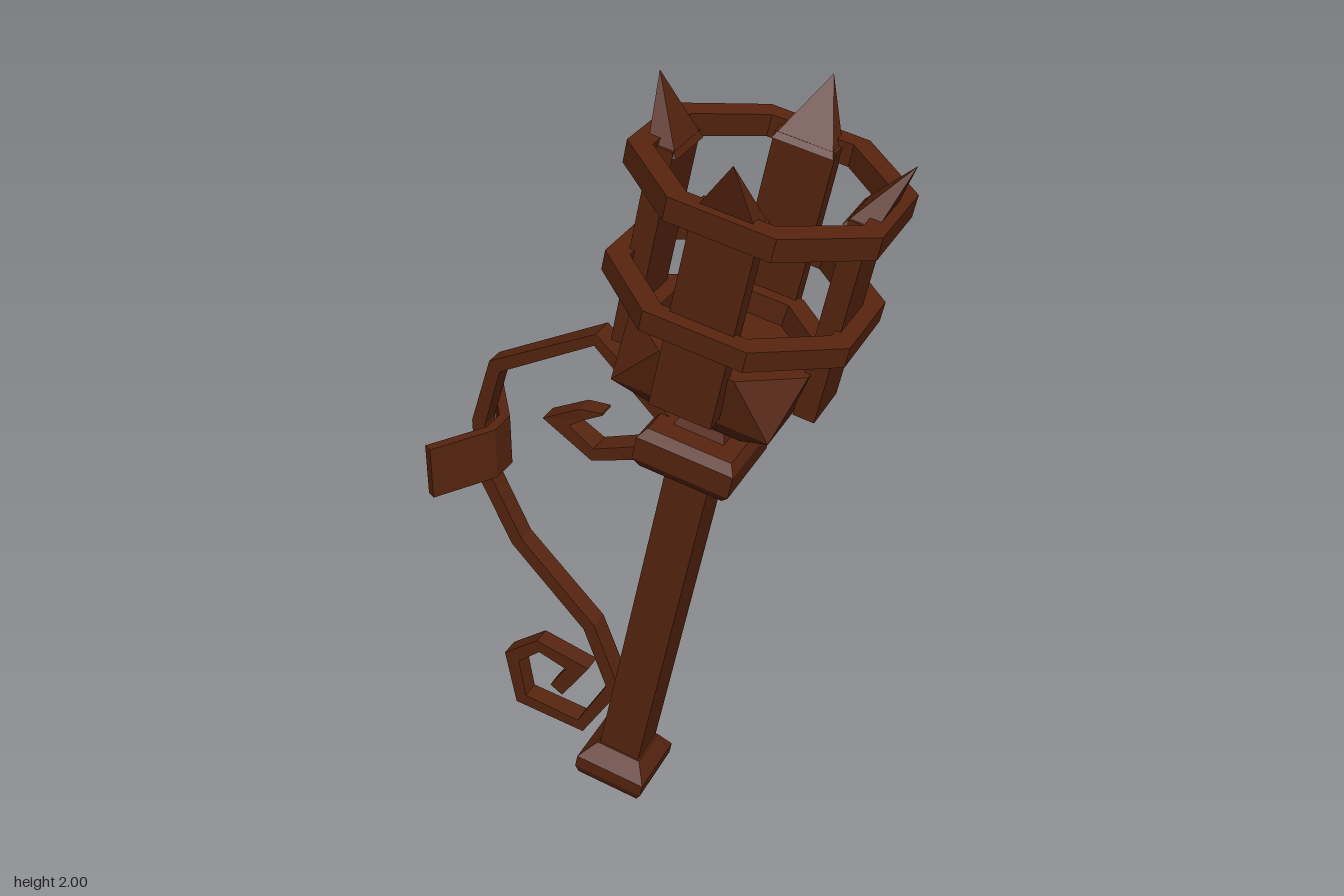
import * as THREE from 'three';

const material = new THREE.MeshStandardMaterial({ color: 0x56240f, flatShading: true, side: THREE.DoubleSide });

// Skin a list of equal-length cross-sections, optionally closing both ends
function loft(rings, caps = true) {
  const pos = [];
  const tri = (a, b, c) => pos.push(...a, ...b, ...c);
  const n = rings[0].length;
  for (let i = 0; i < rings.length - 1; i++) {
    const p = rings[i], q = rings[i + 1];
    for (let j = 0; j < n; j++) {
      const k = (j + 1) % n;
      tri(p[j], p[k], q[k]);
      tri(p[j], q[k], q[j]);
    }
  }
  if (caps) {
    const s = rings[0], e = rings[rings.length - 1];
    for (let j = 1; j < n - 1; j++) {
      tri(s[0], s[j + 1], s[j]);
      tri(e[0], e[j], e[j + 1]);
    }
  }
  const g = new THREE.BufferGeometry();
  g.setAttribute('position', new THREE.Float32BufferAttribute(pos, 3));
  g.computeVertexNormals();
  return g;
}

// Eight-point section: k = 1 is a square, k = 0.414 a regular octagon
function section(y, h, k = 1) {
  const c = h * k;
  return [[h, c], [h, -c], [c, -h], [-c, -h], [-h, -c], [-h, c], [-c, h], [c, h]].map(([x, z]) => [x, y, z]);
}

// Rectangle in a horizontal plane
const rect = (y, x0, x1, w) => [[x1, y, w], [x1, y, -w], [x0, y, -w], [x0, y, w]];

// Mitred flat bar along points [x, y, halfThickness, halfWidth]
function ribbon(points) {
  const dir = (a, b) => new THREE.Vector2(b[0] - a[0], b[1] - a[1]).normalize();
  return loft(points.map((p, i) => {
    const before = i > 0 ? dir(points[i - 1], p) : dir(p, points[1]);
    const after = i < points.length - 1 ? dir(p, points[i + 1]) : before;
    const t = before.clone().add(after).normalize();
    const m = p[2] / Math.max(0.5, t.dot(after));
    const nx = -t.y * m, ny = t.x * m, w = p[3];
    return [[p[0] + nx, p[1] + ny, -w], [p[0] + nx, p[1] + ny, w],
      [p[0] - nx, p[1] - ny, w], [p[0] - nx, p[1] - ny, -w]];
  }));
}

function add(parent, name, geometry) {
  const mesh = new THREE.Mesh(geometry, material);
  mesh.name = name;
  parent.add(mesh);
  return mesh;
}

export function createModel() {
  const model = new THREE.Group();
  model.name = 'wallTorch';

  // Leaning torch body
  const torch = new THREE.Group();
  torch.name = 'torch';
  torch.position.set(-0.14, 0.02, 0);
  torch.rotation.z = -0.21;
  model.add(torch);

  // Square handle with foot and collar
  const handle = new THREE.Group();
  handle.name = 'handle';
  handle.position.z = 0.008;
  torch.add(handle);
  add(handle, 'shaft', loft([section(0.05, 0.057), section(1.1, 0.057)]));
  add(handle, 'foot', loft([section(0, 0.088), section(0.025, 0.098), section(0.06, 0.098), section(0.105, 0.062)]));
  add(handle, 'collar', loft([section(1.05, 0.108), section(1.075, 0.125), section(1.135, 0.125), section(1.16, 0.108)]));

  // Bowl: square below, opening into an octagonal rim with a sunken floor
  const head = new THREE.Group();
  head.name = 'head';
  head.position.z = -0.005;
  torch.add(head);
  add(head, 'bowl', loft([
    section(1.15, 0.07), section(1.185, 0.055), section(1.22, 0.11), section(1.3, 0.196),
    section(1.436, 0.22, 0.414), section(1.436, 0.17, 0.414), section(1.38, 0.165, 0.414),
  ]));

  // Octagonal cage rings
  for (const [name, y0, y1] of [['lowerRing', 1.515, 1.565], ['upperRing', 1.785, 1.84]]) {
    const corners = [[y0, 0.297], [y1, 0.297], [y1, 0.245], [y0, 0.245], [y0, 0.297]];
    add(head, name, loft(corners.map(([y, h]) => section(y, h, 0.414)), false));
  }

  // Four uprights, each ending in an outward spike
  const strut = loft([rect(1.32, 0.205, 0.258, 0.076), rect(1.825, 0.205, 0.258, 0.076)]);
  const spike = loft([rect(1.81, 0.195, 0.265, 0.076), rect(1.96, 0.3, 0.3, 0)]);
  for (let i = 0; i < 4; i++) {
    const upright = new THREE.Group();
    upright.name = 'upright' + (i + 1);
    upright.rotation.y = i * Math.PI / 2;
    add(upright, 'strut', strut);
    add(upright, 'spike', spike);
    head.add(upright);
  }

  // Scrolled wall bracket
  add(model, 'scroll', ribbon([
    [-0.32, 0.24, 0.021, 0.026], [-0.255, 0.33, 0.021, 0.026], [-0.37, 0.37, 0.016, 0.026],
    [-0.452, 0.31, 0.019, 0.026], [-0.43, 0.175, 0.017, 0.026], [-0.25, 0.14, 0.015, 0.028],
    [-0.148, 0.3, 0.018, 0.03], [-0.215, 0.48, 0.018, 0.028], [-0.418, 0.695, 0.018, 0.026],
    [-0.51, 0.89, 0.018, 0.026], [-0.51, 1.03, 0.018, 0.026], [-0.455, 1.2, 0.017, 0.026],
    [-0.175, 1.335, 0.013, 0.034], [0, 1.165, 0.018, 0.036], [-0.05, 1.055, 0.018, 0.034],
    [-0.19, 1.015, 0.016, 0.032], [-0.29, 1.083, 0.018, 0.028], [-0.22, 1.118, 0.015, 0.026],
    [-0.165, 1.13, 0.003, 0.024],
  ])).position.z = 0.004;

  // Splayed wall clip
  const clip = ribbon([[-0.565, 0.182], [-0.468, 0.036], [-0.468, -0.036], [-0.565, -0.182]]
    .map(([x, z]) => [x, z, 0.013, 0.069]));
  clip.rotateX(Math.PI / 2);
  add(model, 'wallClip', clip).position.set(0, 0.959, 0.006);

  return model;
}
